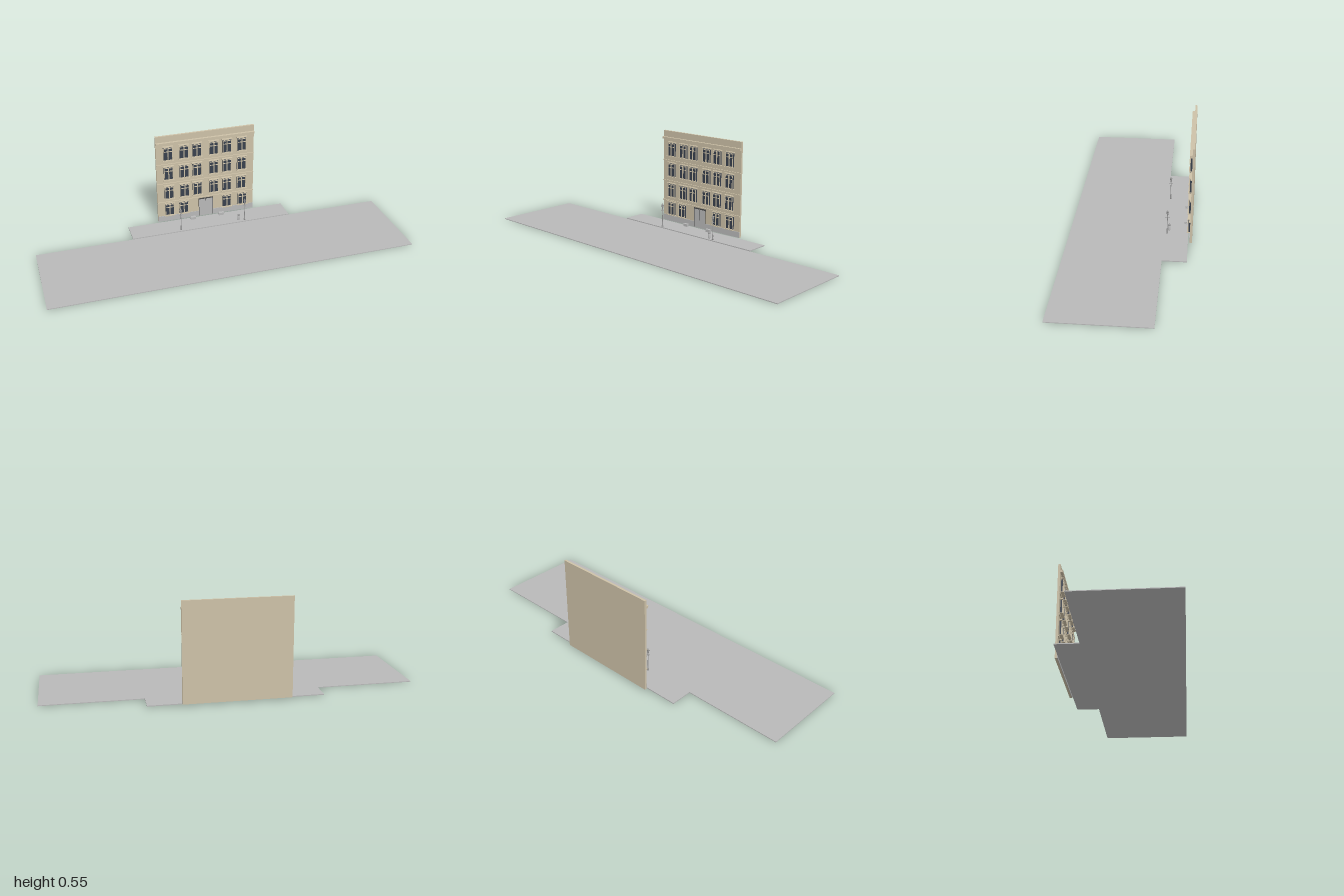
import * as THREE from 'three';

const mat = (name, color) => {
  const m = new THREE.MeshStandardMaterial({ color });
  m.name = name;
  return m;
};

export function createModel() {
  const paving = mat('paving grey', 0xb8b8b8);
  const plaster = mat('warm plaster', 0xcdc1a7);
  const glass = mat('dark glass', 0x38404d);
  const metal = mat('lamp grey', 0x9a9a9a);
  const dark = mat('dark trim', 0x4c4c4c);

  const model = new THREE.Group();
  model.name = 'streetFacade';

  const group = (name, parent = model) => {
    const g = new THREE.Group();
    g.name = name;
    parent.add(g);
    return g;
  };
  // box given by its lower and upper limits on each axis
  const box = (name, material, x0, x1, y0, y1, z0, z1, parent = model) => {
    const mesh = new THREE.Mesh(new THREE.BoxGeometry(x1 - x0, y1 - y0, z1 - z0), material);
    mesh.position.set((x0 + x1) / 2, (y0 + y1) / 2, (z0 + z1) / 2);
    mesh.name = name;
    parent.add(mesh);
    return mesh;
  };
  const lathe = (name, material, points, sides, parent) => {
    const profile = points.map(([r, y]) => new THREE.Vector2(r, y));
    const mesh = new THREE.Mesh(new THREE.LatheGeometry(profile, sides), material);
    mesh.name = name;
    parent.add(mesh);
    return mesh;
  };

  // ground
  box('road', paving, -1, 1, 0, 0.004, -0.177, 0.325);
  box('pavement', paving, -0.464, 0.462, 0.004, 0.009, -0.303, -0.177);

  // wall with cornice, string courses and plinth
  const L = -0.287, R = 0.285, face = -0.312;
  box('wall', plaster, L, R, 0.01, 0.545, -0.324, face);
  box('cornice', plaster, L, R, 0.497, 0.508, face, -0.3);
  box('corniceLip', plaster, L, R, 0.505, 0.509, face, -0.298);
  for (const y of [0.25, 0.371]) box('stringCourse', plaster, L, R, y, y + 0.004, face, -0.306);
  box('groundFloorBand', plaster, L, R, 0.128, 0.135, face, -0.306);
  for (const [a, b] of [[L, -0.045], [0.04, R]]) box('plinth', paving, a, b, 0.01, 0.043, face, -0.309);

  // entrance
  const door = group('entrance');
  box('doorLeaves', paving, -0.043, 0.038, 0.01, 0.12, face, -0.3095, door);
  box('doorSplit', dark, -0.003, -0.002, 0.012, 0.118, -0.3095, -0.309, door);
  box('doorHead', dark, -0.045, 0.04, 0.119, 0.126, face, -0.308, door);
  for (const x of [-0.045, 0.038]) box('doorJamb', dark, x, x + 0.002, 0.01, 0.12, face, -0.3085, door);

  // one casement window: glass block, frame, mullion, transom, sill and hood
  const addWindow = (cx, y, h) => {
    const w = group('window');
    const hw = 0.026, t = 0.003, z0 = -0.303, z1 = -0.299, top = y + h;
    box('glass', glass, cx - hw, cx + hw, y, top, face, z0, w);
    for (const s of [-1, 1]) {
      const x = cx + s * (hw - t / 2);
      box('frameSide', plaster, x - t / 2, x + t / 2, y, top, z0, z1, w);
    }
    for (const fy of [y, top - t]) box('frameRail', plaster, cx - hw, cx + hw, fy, fy + t, z0, z1, w);
    box('mullion', plaster, cx - 0.0025, cx + 0.0025, y, top, z0, z1, w);
    box('transom', plaster, cx - hw, cx + hw, y + h * 0.7, y + h * 0.7 + 0.003, z0, z1, w);
    box('sill', plaster, cx - 0.031, cx + 0.031, y - 0.003, y, face, -0.295, w);
    box('hood', plaster, cx - 0.031, cx + 0.031, top + 0.004, top + 0.009, face, -0.299, w);
  };
  const columns = [-0.219, -0.128, -0.053, 0.045, 0.123, 0.211];
  for (const y of [0.157, 0.279, 0.4]) for (const x of columns) addWindow(x, y, 0.075);
  for (const x of [-0.219, -0.135, 0.123, 0.218]) addWindow(x, 0.05, 0.071);

  // street lamps
  for (const x of [-0.183, 0.195]) {
    const lamp = group('streetLamp');
    lamp.position.set(x, 0.009, -0.191);
    lathe('post', metal, [[0, 0], [0.005, 0], [0.005, 0.004], [0.0035, 0.007], [0.0035, 0.026],
      [0.0018, 0.031], [0.0014, 0.1], [0.003, 0.107], [0, 0.108]], 10, lamp);
    box('crossbar', metal, -0.012, 0.012, 0.095, 0.0968, -0.001, 0.001, lamp);
    box('crossbarDepth', metal, -0.001, 0.001, 0.095, 0.0968, -0.012, 0.012, lamp);
    lathe('lantern', metal, [[0, 0.108], [0.0035, 0.108], [0.0062, 0.126], [0, 0.126]], 6, lamp);
    lathe('lanternRoof', metal, [[0, 0.126], [0.0075, 0.126], [0.003, 0.133], [0.0013, 0.134],
      [0.0018, 0.137], [0, 0.14]], 6, lamp);
  }

  // litter bin beside the lamp
  const bin = group('litterBin');
  bin.position.set(0.163, 0.009, -0.2);
  lathe('binBody', paving, [[0, 0], [0.0065, 0], [0.0075, 0.002], [0.0075, 0.029], [0, 0.029]], 14, bin);
  lathe('binLid', metal, [[0, 0.029], [0.008, 0.029], [0.008, 0.033], [0, 0.034]], 14, bin);

  // low seats against the wall
  for (const x of [-0.087, 0.083]) {
    const seat = group('bench');
    box('seatSlab', paving, x - 0.016, x + 0.016, 0.021, 0.025, -0.293, -0.277, seat);
    box('seatBlock', paving, x - 0.014, x + 0.014, 0.009, 0.021, -0.291, -0.279, seat);
  }
  return model;
}
